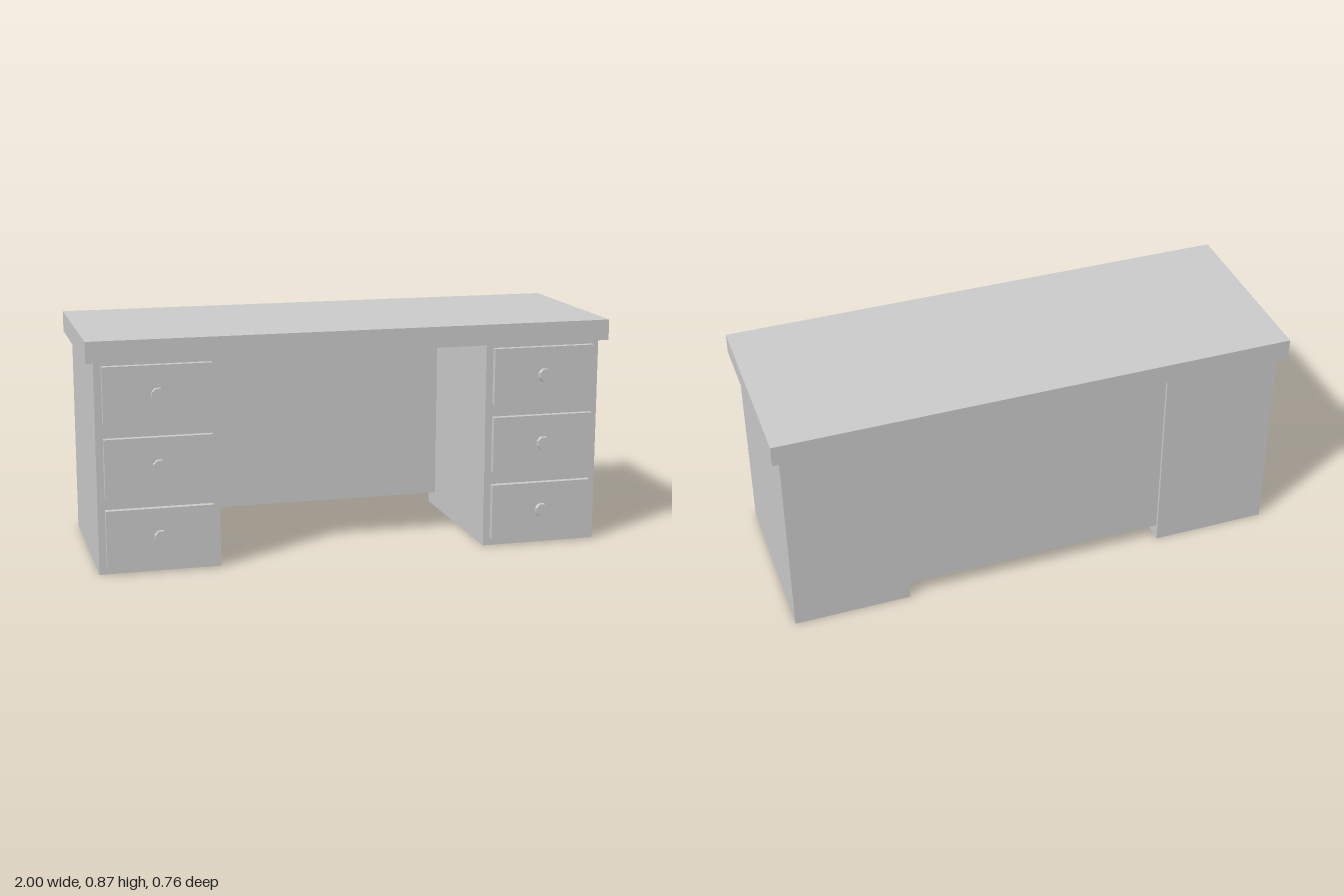
import * as THREE from 'three';

const material = new THREE.MeshStandardMaterial({ color: 0xcccccc, flatShading: true });

// Box given by its lower and upper bounds on each axis
function box(name, [x0, x1], [y0, y1], [z0, z1]) {
  const mesh = new THREE.Mesh(new THREE.BoxGeometry(x1 - x0, y1 - y0, z1 - z0), material);
  mesh.position.set((x0 + x1) / 2, (y0 + y1) / 2, (z0 + z1) / 2);
  mesh.name = name;
  return mesh;
}

// Octagonal knob facing +z, with a flat side up
function knob(y) {
  const geometry = new THREE.CylinderGeometry(0.0265, 0.0265, 0.02, 8);
  geometry.rotateY(Math.PI / 8).rotateX(Math.PI / 2);
  const mesh = new THREE.Mesh(geometry, material);
  mesh.position.set(0, y, 0.369);
  mesh.name = 'drawerKnob';
  return mesh;
}

// Cabinet with three drawers, centred on its own x = 0
function pedestal(name) {
  const group = new THREE.Group();
  group.name = name;
  group.add(box('cabinet', [-0.227, 0.227], [0, 0.792], [-0.348, 0.336]));
  for (let i = 0; i < 3; i++) {
    const y = 0.136 + i * 0.266;
    group.add(box('drawerFront', [-0.2, 0.2], [y - 0.108, y + 0.108], [0.336, 0.36]));
    group.add(knob(y));
  }
  return group;
}

export function createModel() {
  const desk = new THREE.Group();
  desk.name = 'desk';

  // Overhanging top
  desk.add(box('deskTop', [-1, 1], [0.792, 0.871], [-0.378, 0.364]));

  // Drawer pedestals on both sides
  for (const side of [-1, 1]) {
    const p = pedestal(side > 0 ? 'leftPedestal' : 'rightPedestal');
    p.position.x = side * 0.743;
    desk.add(p);
  }

  // Panel closing the back of the knee space
  desk.add(box('modestyPanel', [-0.516, 0.516], [0.06, 0.792], [-0.336, -0.262]));
  return desk;
}
